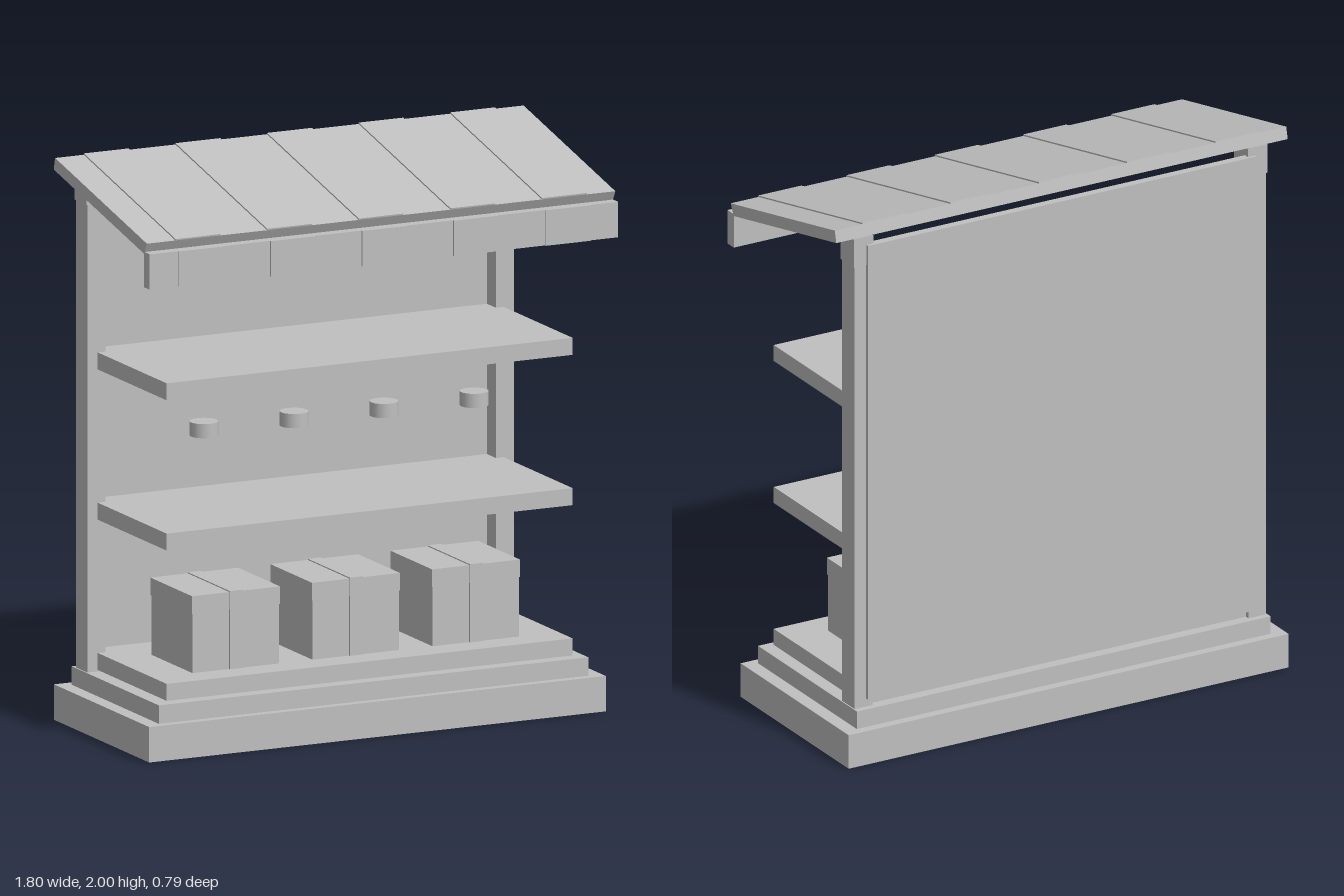
import * as THREE from 'three';

export function createModel() {
  const root = new THREE.Group();
  root.name = 'marketShelfStand';
  const grey = new THREE.MeshStandardMaterial({ color: 0xc0c0c0 });
  grey.name = 'plain grey';

  function add(name, geometry, parent = root) {
    const mesh = new THREE.Mesh(geometry, grey);
    mesh.name = name;
    parent.add(mesh);
    return mesh;
  }

  // Box given by its limits on each axis
  function box(name, [x0, x1], [y0, y1], [z0, z1], parent = root) {
    const g = new THREE.BoxGeometry(x1 - x0, y1 - y0, z1 - z0);
    g.translate((x0 + x1) / 2, (y0 + y1) / 2, (z0 + z1) / 2);
    return add(name, g, parent);
  }

  // Side profile of [z, y] points, extruded along x
  function slab(name, profile, x0, x1) {
    const shape = new THREE.Shape(profile.map(([z, y]) => new THREE.Vector2(-z, y)));
    const g = new THREE.ExtrudeGeometry(shape, { depth: x1 - x0, bevelEnabled: false });
    g.rotateY(Math.PI / 2);
    g.translate(x0, 0, 0);
    return add(name, g);
  }

  // Stepped base
  box('base', [-0.877, 0.877], [0, 0.125], [-0.393, 0.34]);
  box('baseStep', [-0.825, 0.825], [0.125, 0.19], [-0.36, 0.31]);

  // Shelves
  for (const y of [0.195, 0.725, 1.255]) {
    box('shelf', [-0.78, 0.78], [y, y + 0.06], [-0.32, 0.28]);
  }
  box('shelfFooting', [-0.76, 0.76], [0.19, 0.195], [-0.32, 0.26]);

  // Posts with tops cut to the roof slope, and slim capitals
  for (const side of [-1, 1]) {
    const c = side * 0.785;
    slab('post', [[-0.25, 0.19], [-0.25, 1.927], [-0.337, 1.946], [-0.337, 0.19]], c - 0.035, c + 0.035);
    slab('postCapital', [[-0.247, 1.84], [-0.247, 1.926], [-0.34, 1.946], [-0.34, 1.84]], c - 0.039, c + 0.039);
  }

  // Back panel
  box('backPanel', [-0.775, 0.775], [0.22, 1.915], [-0.35, -0.32]);

  // Sloping roof and front valance
  slab('roof', [[0.368, 1.838], [-0.338, 1.995], [-0.348, 1.952], [0.347, 1.798]], -0.9, 0.9);
  box('valance', [-0.9, 0.9], [1.68, 1.805], [0.347, 0.39]);

  // Raised strips on roof and valance
  for (let i = -2; i <= 2; i++) {
    const x = i * 0.352;
    slab('roofStrip', [[0.369, 1.843], [-0.337, 2.0], [-0.338, 1.995], [0.368, 1.838]], x - 0.086, x + 0.086);
    box('valanceStrip', [x - 0.086, x + 0.086], [1.68, 1.805], [0.39, 0.396]);
  }

  // Small round pots in a row
  for (let i = 0; i < 4; i++) {
    const pot = add('pot', new THREE.CylinderGeometry(0.05, 0.05, 0.05, 16));
    pot.position.set(-0.521 + i * 0.346, 1.083, 0.048);
  }

  // Lidded boxes with a tape strip
  for (const x of [-0.461, 0, 0.461]) {
    const crate = new THREE.Group();
    crate.name = 'storageBox';
    crate.position.x = x;
    root.add(crate);
    box('boxBody', [-0.166, 0.166], [0.255, 0.47], [-0.143, 0.172], crate);
    box('boxLid', [-0.169, 0.169], [0.465, 0.527], [-0.146, 0.175], crate);
    box('tapeTop', [-0.025, 0.025], [0.527, 0.531], [-0.146, 0.178], crate);
    box('tapeFront', [-0.025, 0.025], [0.255, 0.527], [0.172, 0.178], crate);
  }

  return root;
}
